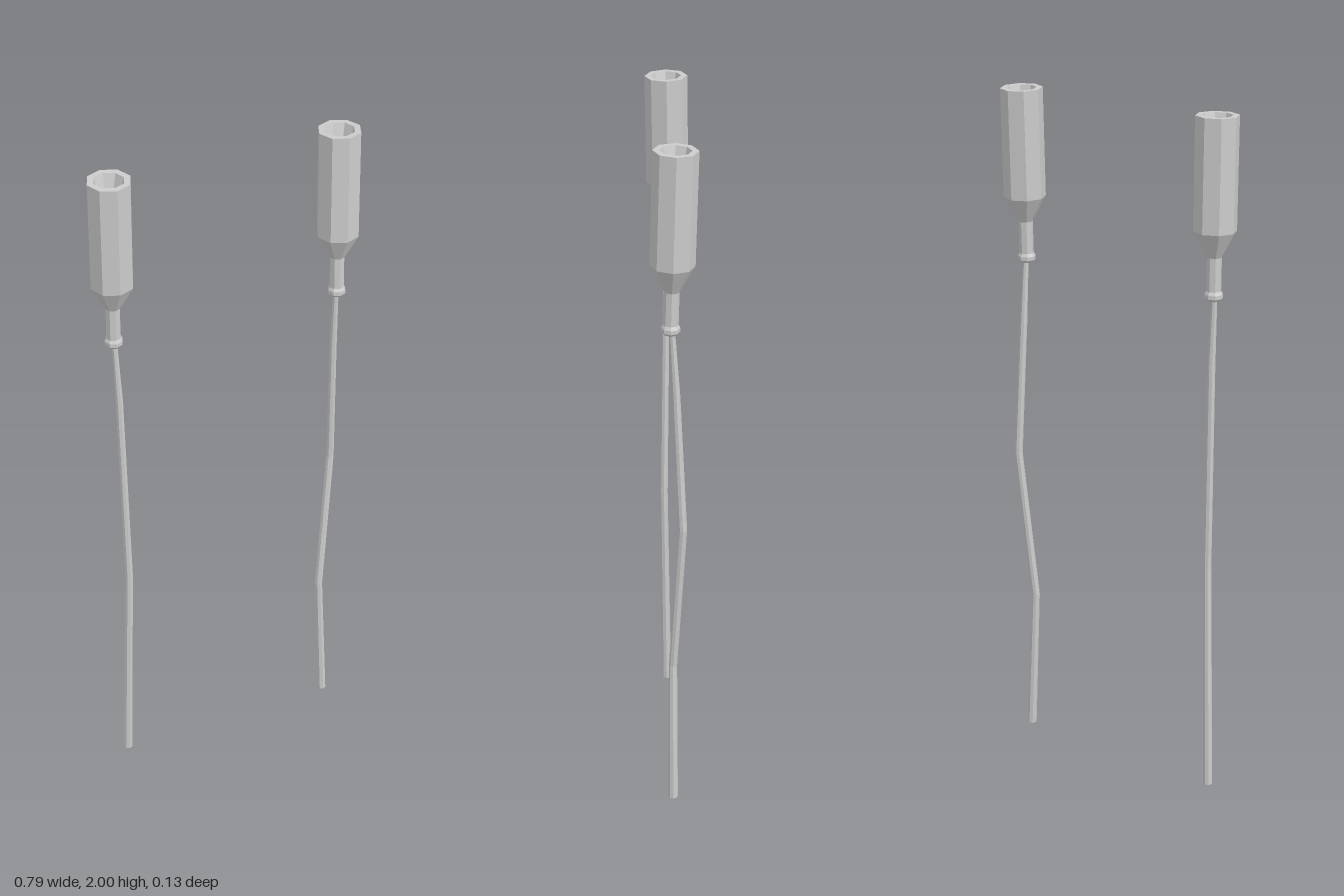
import * as THREE from 'three';

const material = new THREE.MeshStandardMaterial({ color: 0xcccccc, flatShading: true });
const SIDES = 8;

// Closed outline of the holder, measured up from its collar: [radius, height]
const HOLDER = [
  [0, 0], [0.020, 0], [0.026, 0.007], [0.026, 0.018], [0.021, 0.027],
  [0.021, 0.122], [0.061, 0.195], [0.061, 0.512],
  [0.043, 0.512], [0.016, 0.42], [0, 0.42],
];

function makeHolder() {
  const points = HOLDER.map(([r, y]) => new THREE.Vector2(r, y));
  const mesh = new THREE.Mesh(new THREE.LatheGeometry(points, SIDES), material);
  mesh.name = 'holder';
  return mesh;
}

// Bent stem: a capped cylinder whose rings follow stations [x, y, z, radius], top to bottom
function makeStem(stations) {
  const rows = stations.length - 1;
  const geometry = new THREE.CylinderGeometry(1, 1, rows, SIDES, rows);
  const pos = geometry.attributes.position;
  for (let i = 0; i < pos.count; i++) {
    const [x, y, z, r] = stations[Math.round(rows / 2 - pos.getY(i))];
    pos.setXYZ(i, x + pos.getX(i) * r, y, z + pos.getZ(i) * r);
  }
  geometry.computeVertexNormals();
  const mesh = new THREE.Mesh(geometry, material);
  mesh.name = 'stem';
  return mesh;
}

function makeTorch({ name, x, z, lean, stations }) {
  const torch = new THREE.Group();
  torch.name = name;
  const holder = makeHolder();
  holder.position.set(x, 1.488, z);
  holder.rotation.x = lean;
  torch.add(holder, makeStem(stations));
  return torch;
}

export function createModel() {
  const model = new THREE.Group();
  model.name = 'torchPair';
  model.add(
    makeTorch({
      name: 'leftTorch', x: 0.335, z: 0.008, lean: -0.027,
      stations: [
        [0.335, 1.5, 0.004, 0.008],
        [0.338, 1.3, -0.008, 0.011],
        [0.349, 0.9, -0.026, 0.012],
        [0.311, 0.44, 0.0, 0.012],
        [0.333, 0, 0, 0.014],
      ],
    }),
    makeTorch({
      name: 'rightTorch', x: -0.336, z: -0.005, lean: 0.012,
      stations: [
        [-0.336, 1.5, 0.0, 0.008],
        [-0.328, 1.3, 0.002, 0.011],
        [-0.319, 0.68, 0.009, 0.012],
        [-0.338, 0, 0, 0.014],
      ],
    }),
  );
  return model;
}
